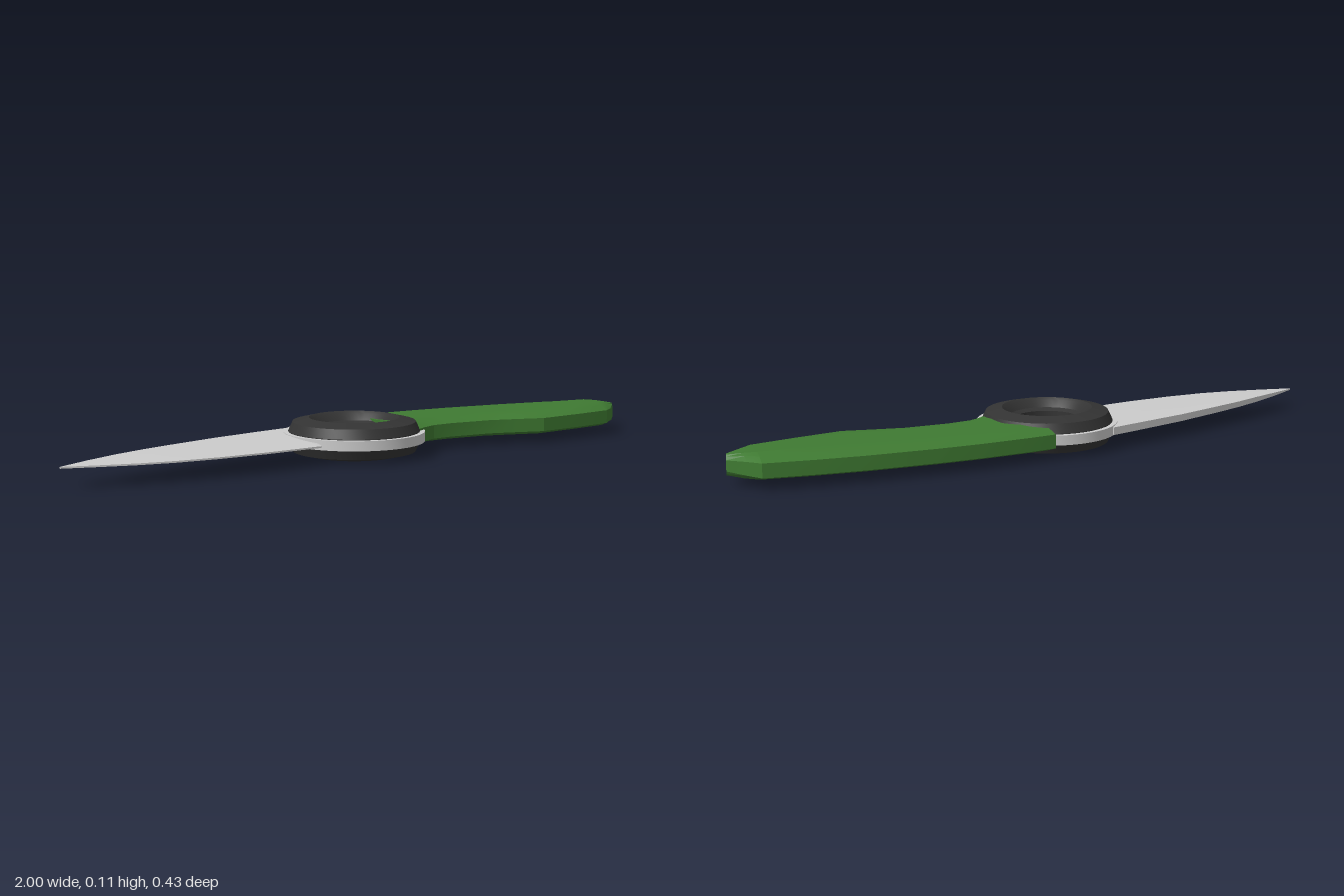
import * as THREE from 'three';
import { toCreasedNormals } from 'three/addons/utils/BufferGeometryUtils.js';

const MID = 0.06; // height of the knife's middle plane
const PIVOT_X = -0.02;

// Skin a run of closed cross-sections, with fan caps at both ends.
function loft(sections, crease) {
  const n = sections[0].length, last = (sections.length - 1) * n, index = [];
  for (let i = 0; i < sections.length - 1; i++) {
    for (let j = 0; j < n; j++) {
      const a = i * n + j, b = i * n + (j + 1) % n;
      index.push(a, b, a + n, b, b + n, a + n);
    }
  }
  for (let j = 1; j < n - 1; j++) {
    index.push(0, j + 1, j, last, last + j, last + j + 1);
  }
  const geo = new THREE.BufferGeometry();
  geo.setAttribute('position', new THREE.Float32BufferAttribute(sections.flat(2), 3));
  geo.setIndex(index);
  return toCreasedNormals(geo, crease);
}

// Section between a back and a front edge point; profile = [fraction, half height],
// mirrored below the middle plane.
function section([xb, zb, xf, zf], profile) {
  const at = (t, h) => [xb + (xf - xb) * t, MID + h, zb + (zf - zb) * t];
  return [
    ...profile.map(([t, h]) => at(t, h)),
    ...[...profile].reverse().map(([t, h]) => at(t, -h)),
  ];
}

// Ring of revolution around the pivot, from [radius, height above middle] points.
function ring(points) {
  const pts = points.map(([r, h]) => new THREE.Vector2(r, h));
  pts.push(pts[0].clone());
  const geo = toCreasedNormals(new THREE.LatheGeometry(pts, 64), 0.3);
  return geo.translate(PIVOT_X, MID, 0);
}

export function createModel() {
  const model = new THREE.Group();
  const add = (name, geometry, color) => {
    const material = new THREE.MeshStandardMaterial({ color, side: THREE.DoubleSide });
    const mesh = new THREE.Mesh(geometry, material);
    mesh.name = name;
    model.add(mesh);
  };

  // Blade: thick spine at the back, ground down to the edge at the front.
  // Stations: back x, back z, front x, front z, half thickness.
  const bladeStations = [
    [-1, 0.002, -1, 0.006, 0.002],
    [-0.9, -0.032, -0.9, 0.045, 0.006],
    [-0.8, -0.062, -0.8, 0.08, 0.009],
    [-0.7, -0.09, -0.7, 0.105, 0.01],
    [-0.6, -0.112, -0.57, 0.122, 0.011],
    [-0.42, -0.148, -0.42, 0.13, 0.012],
    [-0.24, -0.172, -0.228, 0.127, 0.013],
    [-0.14, -0.185, -0.205, 0.08, 0.013],
  ];
  add('blade', loft(bladeStations.map((s) =>
    section(s, [[0, s[4] * 0.9], [0.12, s[4]], [0.5, s[4]], [1, 0.0025]])), 0.3), 0xcccccc);

  // Blade tang disc, standing slightly proud of the pivot ring
  add('tangDisc', ring([[0.14, -0.015], [0.215, -0.015], [0.215, 0.015], [0.14, 0.015]]), 0xcccccc);

  // Pivot ring with bevelled rim and a funnelled finger hole
  const half = [[0.2, 0.017], [0.187, 0.045], [0.137, 0.057], [0.128, 0.05], [0.112, 0.03], [0.096, 0.022]];
  const mirrored = half.map(([r, h]) => [r, -h]).reverse();
  add('pivotRing', ring([...mirrored, ...half]), 0x333333);

  // Handle: straight side band, bevelled edges and a shallow groove along each face.
  // Stations: back x, back z, front x, front z, height scale.
  const handleStations = [
    [0.08, -0.2, 0.085, 0.15, 1],
    [0.17, -0.197, 0.17, 0.105, 1],
    [0.23, -0.192, 0.22, 0.087, 1],
    [0.32, -0.185, 0.29, 0.086, 1],
    [0.45, -0.168, 0.43, 0.106, 1],
    [0.55, -0.15, 0.51, 0.135, 1],
    [0.66, -0.13, 0.6, 0.17, 1],
    [0.8, -0.096, 0.75, 0.165, 1],
    [0.94, -0.055, 0.89, 0.155, 1],
    [0.965, -0.01, 0.94, 0.12, 0.93],
    [1, 0.052, 0.985, 0.085, 0.75],
  ];
  add('handle', loft(handleStations.map((s) => {
    const width = s[3] - s[1], k = s[4];
    const bevel = Math.min(0.035 / width, 0.18);
    return section(s, [
      [0, 0.021 * k], [bevel, 0.033 * k], [0.3, 0.039 * k], [0.5, 0.036 * k],
      [0.7, 0.039 * k], [1 - bevel, 0.033 * k], [1, 0.021 * k],
    ]);
  }), 0.3), 0x3f7a32);

  return model;
}
